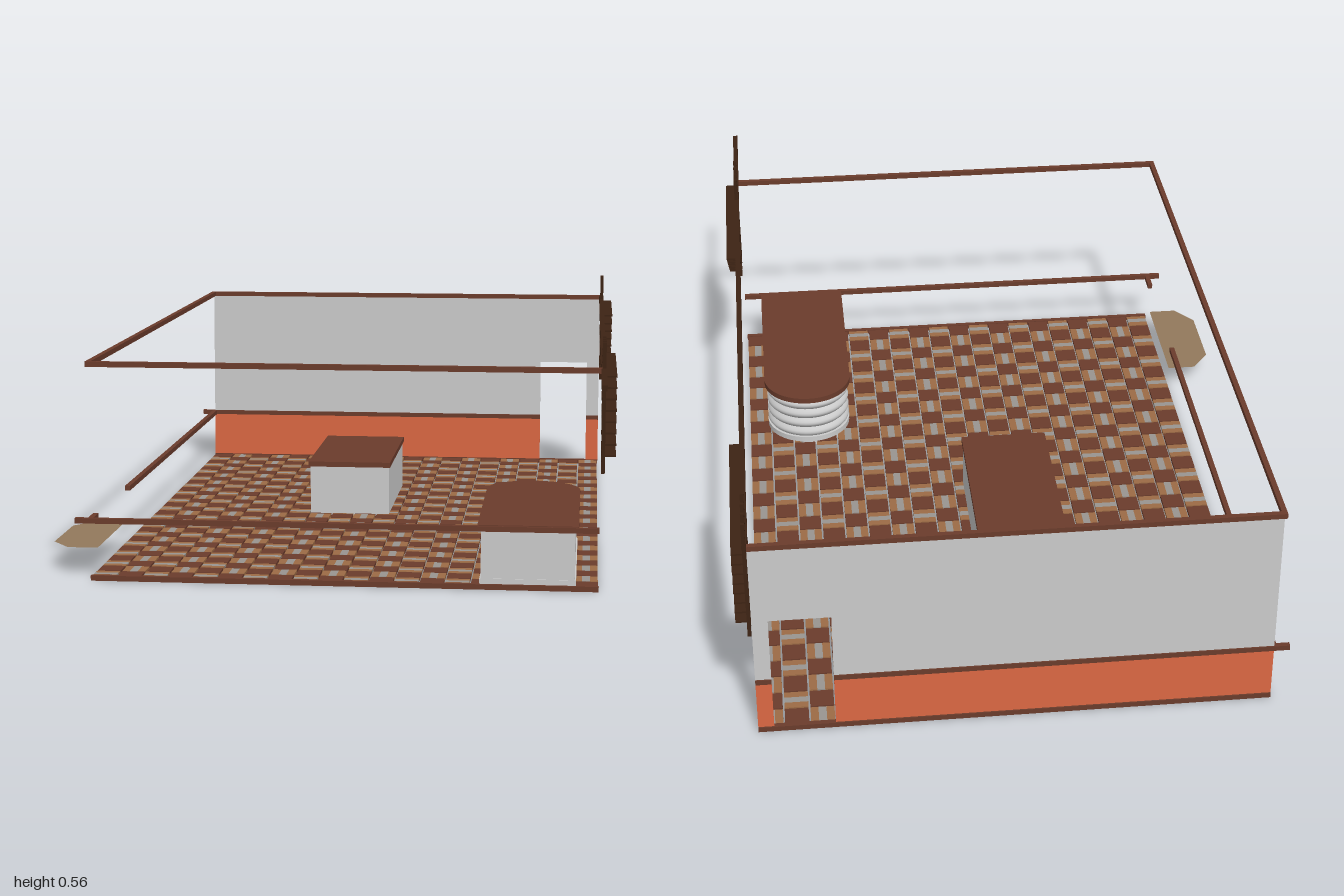
import * as THREE from 'three';
import { mergeGeometries } from 'three/addons/utils/BufferGeometryUtils.js';

const mat = (color, side = THREE.FrontSide) => new THREE.MeshStandardMaterial({ color, side });
const GREY = mat(0xcccccc), BROWN = mat(0x6b3c2c), DARK = mat(0x3d2314), ORANGE = mat(0xdc6843);
const TAN = mat(0x9c6b45), STONE = mat(0x999590), SEAT = mat(0x92795c, THREE.DoubleSide);

// Room limits
const X0 = -0.53, X1 = 0.61, Z0 = -0.992, Z1 = 0.71;

// Box geometry given by its limits
function boxGeo(x0, x1, y0, y1, z0, z1) {
  return new THREE.BoxGeometry(x1 - x0, y1 - y0, z1 - z0)
    .translate((x0 + x1) / 2, (y0 + y1) / 2, (z0 + z1) / 2);
}

function add(parent, name, geometry, material) {
  const mesh = new THREE.Mesh(geometry, material);
  mesh.name = name;
  parent.add(mesh);
  return mesh;
}

// Woven floor: square tiles alternating with three-strip tiles, thin gaps between
function makeFloor() {
  const floor = new THREE.Group();
  floor.name = 'floor';
  const nx = 20, nz = 30, gap = 0.002, y0 = 0.002, y1 = 0.01;
  const px = (X1 - X0) / nx, pz = (Z1 - Z0) / nz;
  const squares = [], strips = [], inlays = [];
  for (let i = 0; i < nx; i++) {
    for (let j = 0; j < nz; j++) {
      const a = X0 + i * px + gap, b = X0 + (i + 1) * px - gap;
      const c = Z0 + j * pz + gap, d = Z0 + (j + 1) * pz - gap;
      if ((i + j) % 2 === 0) {
        squares.push(boxGeo(a, b, y0, y1, c, d));
        continue;
      }
      for (let k = 0; k < 3; k++) {
        const list = k === 1 ? inlays : strips;
        const s = k / 3, t = (k + 1) / 3;
        list.push(i % 2
          ? boxGeo(a + (b - a) * s, a + (b - a) * t, y0, y1, c, d)
          : boxGeo(a, b, y0, y1, c + (d - c) * s, c + (d - c) * t));
      }
    }
  }
  add(floor, 'squareTiles', mergeGeometries(squares), BROWN);
  add(floor, 'stripTiles', mergeGeometries(strips), TAN);
  add(floor, 'inlayTiles', mergeGeometries(inlays), STONE);
  return floor;
}

// Back wall in two colours with a doorway
function makeBackWall() {
  const wall = new THREE.Group();
  wall.name = 'backWall';
  const d0 = 0.44, d1 = 0.575, dTop = 0.3, split = 0.135, top = 0.49;
  const panel = (x0, x1, y0, y1) => boxGeo(x0, x1, y0, y1, Z0 - 0.003, Z0 + 0.003);
  add(wall, 'upperWall', mergeGeometries([
    panel(X0, d0, split, top), panel(d0, d1, dTop, top), panel(d1, X1, split, top),
  ]), GREY);
  add(wall, 'lowerWall', mergeGeometries([
    panel(X0, d0, 0, split), panel(d1, X1, 0, split),
  ]), ORANGE);
  return wall;
}

// Trim strips along the room outline
function makeTrim() {
  const trim = new THREE.Group();
  trim.name = 'trim';
  const h = 0.006;
  const alongX = (name, x0, x1, y, z) =>
    add(trim, name, boxGeo(x0, x1, y - h, y + h, z - h, z + h), BROWN);
  const alongZ = (name, x, y, z0, z1, material = BROWN) =>
    add(trim, name, boxGeo(x - h, x + h, y - h, y + h, z0, z1), material);
  alongX('backBaseboard', X0, X1, h, Z0);
  alongX('frontBaseboard', X0, X1, h, Z1);
  alongX('backTopRail', X0 - h, X1, 0.492, Z0);
  alongX('frontTopRail', X0 - h, X1, 0.492, Z1);
  alongX('frontChairRail', -0.565, X1, 0.137, Z1);
  alongX('backChairRail', -0.565, 0.44, 0.137, Z0);
  alongX('doorSideChairRail', 0.575, X1, 0.137, Z0);
  alongZ('sideTopRail', X0, 0.492, Z0, Z1);
  alongZ('sideChairRail', X0, 0.137, Z0, 0.3);
  alongZ('sideChairRailEnd', X0, 0.137, 0.65, Z1);
  alongZ('beam', X1 + 0.004, 0.492, Z0, 1, DARK);
  return trim;
}

// Corner lattice: posts and stepped slats; dir runs from the corner inwards
function makeLattice(name, zCorner, dir) {
  const parts = [];
  const span = (x0, x1, y0, y1, a, b) => {
    const p = zCorner + dir * a, q = zCorner + dir * b;
    parts.push(boxGeo(x0, x1, y0, y1, Math.min(p, q), Math.max(p, q)));
  };
  for (let i = 0; i < 4; i++) span(0.611, 0.619, 0.265, 0.555, i * 0.0375, i * 0.0375 + 0.007);
  for (let i = 0; i < 8; i++) {
    const y = 0.48 - i * 0.025;
    span(0.611, 0.643, y - 0.002, y + 0.002, 0, 0.42 - i * 0.037);
  }
  const lattice = new THREE.Group();
  lattice.name = name;
  add(lattice, 'postsAndSlats', mergeGeometries(parts), DARK);
  return lattice;
}

// Free-standing rectangular counter
function makeIsland() {
  const island = new THREE.Group();
  island.name = 'island';
  add(island, 'islandBody', boxGeo(-0.13, 0.073, 0, 0.132, -0.51, -0.09), GREY);
  add(island, 'islandTop', boxGeo(-0.135, 0.076, 0.132, 0.145, -0.517, -0.085), BROWN);
  return island;
}

// Round-ended counter with a banded end
function makeBar() {
  const bar = new THREE.Group();
  bar.name = 'bar';
  const cx = 0.453, cz = 0.25;
  const outline = (r) => {
    const s = new THREE.Shape();
    s.moveTo(cx + r, cz);
    s.lineTo(cx + r, Z1);
    s.lineTo(cx - r, Z1);
    s.lineTo(cx - r, cz);
    s.absarc(cx, cz, r, Math.PI, Math.PI * 2, false);
    return s;
  };
  const slab = (r, y0, y1) => new THREE.ExtrudeGeometry(outline(r), {
    depth: y1 - y0, bevelEnabled: false, curveSegments: 24,
  }).rotateX(Math.PI / 2).translate(0, y1, 0);
  add(bar, 'barPlinth', slab(0.107, 0, 0.024), GREY);
  add(bar, 'barBody', boxGeo(cx - 0.104, cx + 0.104, 0.02, 0.132, cz, Z1 - 0.002), GREY);
  add(bar, 'barTop', slab(0.112, 0.131, 0.145), BROWN);
  // Four rounded bands
  const profile = [];
  const bands = 4, y0 = 0.022, bandH = 0.0275;
  for (let i = 0; i < bands; i++) {
    for (let k = 0; k <= 6; k++) {
      const t = k / 6;
      profile.push(new THREE.Vector2(0.098 + 0.009 * Math.sin(Math.PI * t), y0 + (i + t) * bandH));
    }
  }
  add(bar, 'barBands', new THREE.LatheGeometry(profile, 28, Math.PI / 2, Math.PI)
    .translate(cx, 0, cz), GREY);
  return bar;
}

// Thin bay seat standing out of the side
function makeBaySeat() {
  const s = new THREE.Shape([
    [-0.53, 0.33], [-0.6, 0.33], [-0.645, 0.39], [-0.645, 0.58], [-0.6, 0.64], [-0.53, 0.64],
  ].map(([x, z]) => new THREE.Vector2(x, -z)));
  const seat = new THREE.Mesh(new THREE.ShapeGeometry(s).rotateX(-Math.PI / 2), SEAT);
  seat.name = 'baySeat';
  seat.position.y = 0.06;
  return seat;
}

export function createModel() {
  const model = new THREE.Group();
  model.name = 'cafeRoom';
  model.add(
    makeFloor(), makeBackWall(), makeTrim(),
    makeLattice('frontLattice', 0.718, -1), makeLattice('backLattice', -0.998, 1),
    makeIsland(), makeBar(), makeBaySeat(),
  );
  return model;
}
